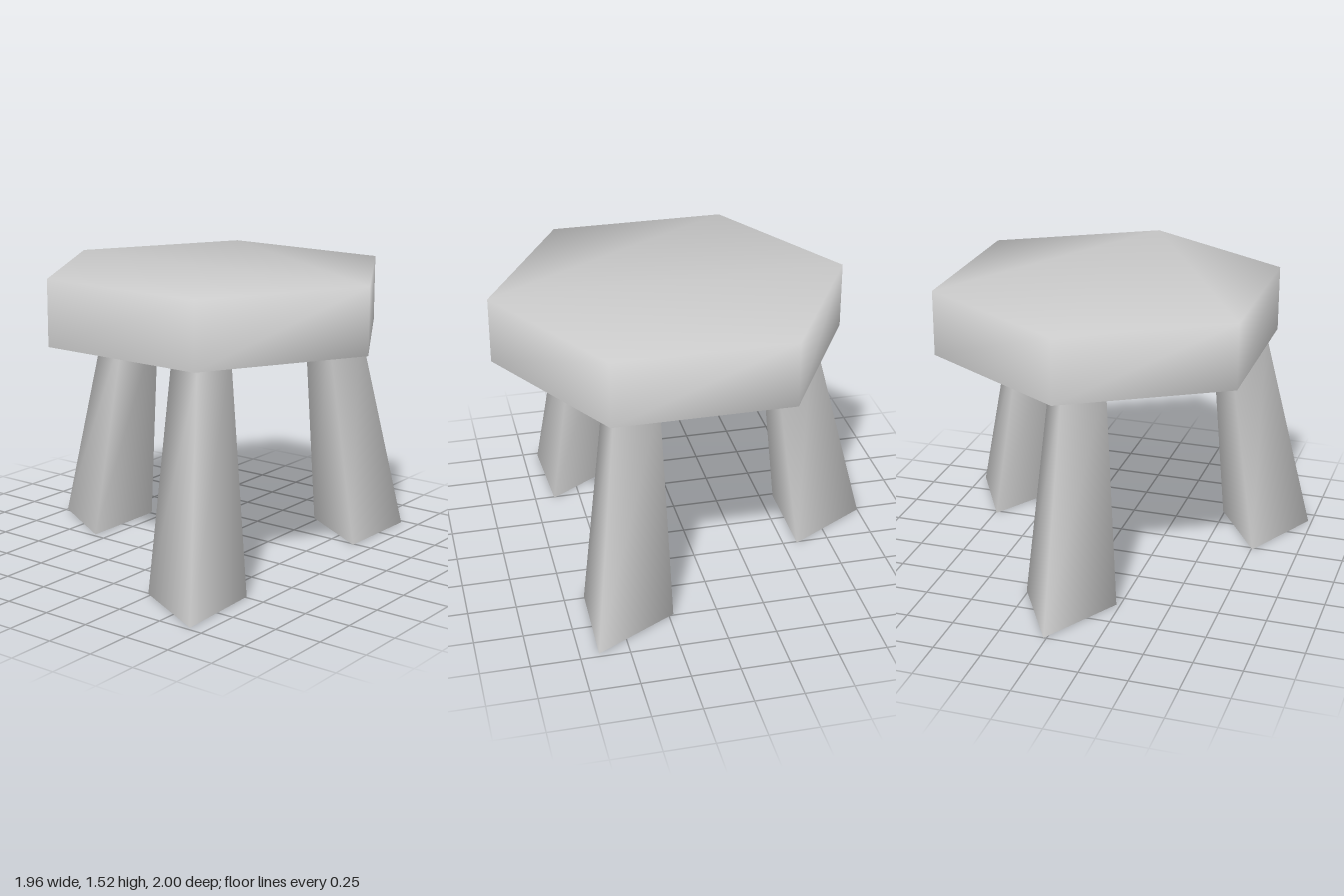
import * as THREE from 'three';

const material = new THREE.MeshStandardMaterial({ color: 0xcccccc, side: THREE.DoubleSide });

// Tapered prism between two rings { x, y, z, r }: closed on top, open below, smooth shared normals.
function prism(name, sides, bottom, top, turn) {
  const positions = [];
  for (const ring of [bottom, top]) {
    for (let i = 0; i < sides; i++) {
      const a = turn + (i / sides) * Math.PI * 2;
      positions.push(ring.x + ring.r * Math.sin(a), ring.y, ring.z + ring.r * Math.cos(a));
    }
  }
  const index = [];
  for (let i = 0; i < sides; i++) {
    const j = (i + 1) % sides;
    index.push(i, j, sides + j, i, sides + j, sides + i);
  }
  for (let i = 1; i < sides - 1; i++) index.push(sides, sides + i, sides + i + 1);

  const geometry = new THREE.BufferGeometry();
  geometry.setAttribute('position', new THREE.Float32BufferAttribute(positions, 3));
  geometry.setIndex(index);
  geometry.computeVertexNormals();
  const mesh = new THREE.Mesh(geometry, material);
  mesh.name = name;
  return mesh;
}

export function createModel() {
  const group = new THREE.Group();
  group.name = 'stool';

  // Hexagonal seat shell, hollow underneath
  const seat = { x: 0.015, z: 0.08, r: 0.92 };
  group.add(prism('seat', 6, { ...seat, y: 1.18 }, { ...seat, y: 1.525 }, 0));

  // Three splayed triangular legs: foot x, z, top x, z, slight twist
  const legs = [
    ['backLeg', 0.015, -0.717, 0.017, -0.525, 0],
    ['leftLeg', 0.735, 0.508, 0.572, 0.422, -0.02],
    ['rightLeg', -0.742, 0.514, -0.583, 0.423, 0.05],
  ];
  for (const [name, fx, fz, tx, tz, twist] of legs) {
    group.add(prism(name, 3,
      { x: fx, y: 0, z: fz, r: 0.283 },
      { x: tx, y: 1.16, z: tz, r: 0.17 },
      Math.PI + twist));
  }
  return group;
}
